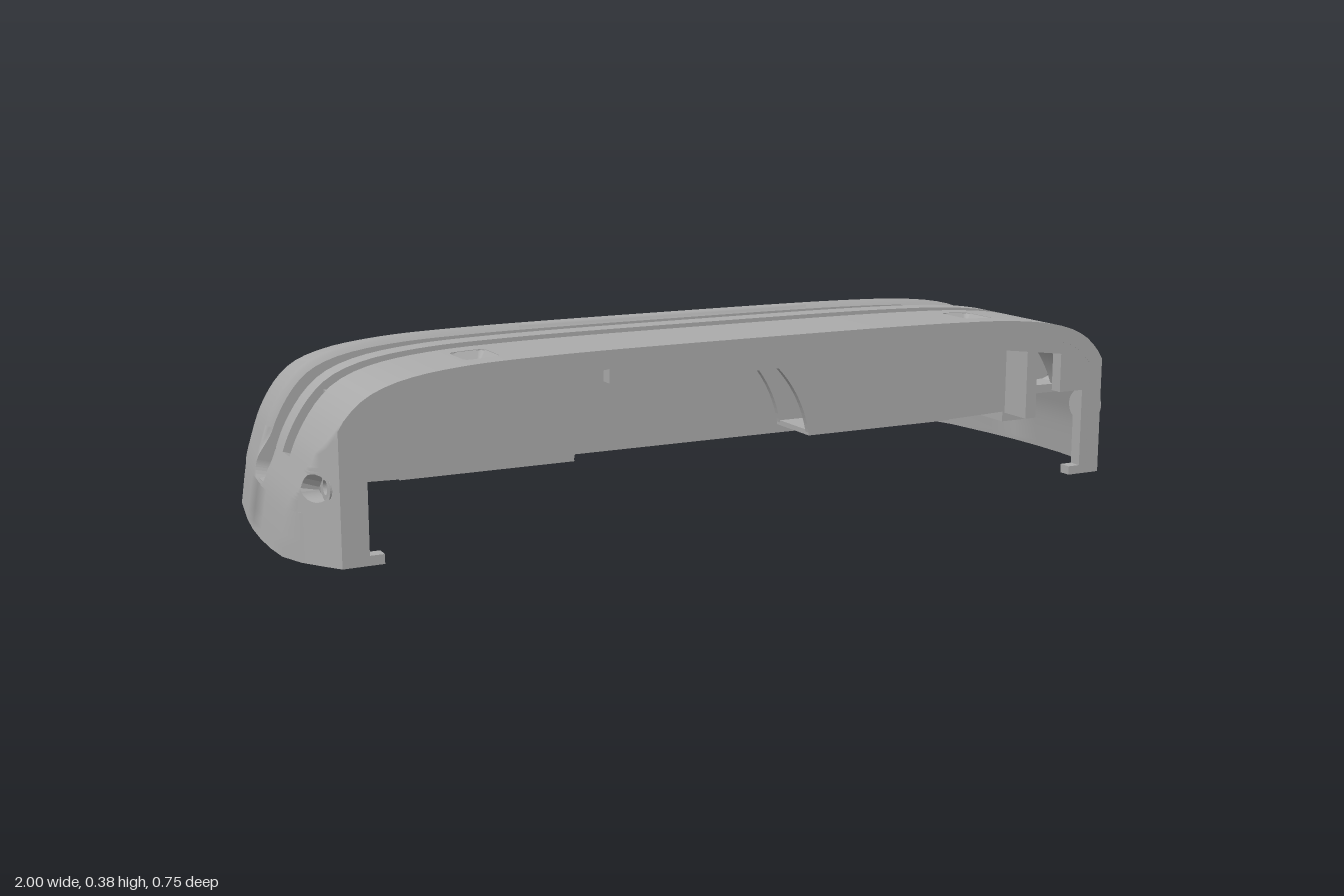
import * as THREE from 'three';

const V2 = (x, y) => new THREE.Vector2(x, y);
// half arch of the cover, from the crown to the foot of the side wall
const arch = new THREE.SplineCurve([
  [0, .385], [.3, .3845], [.5, .382], [.65, .376], [.77, .361], [.85, .334],
  [.9, .292], [.94, .23], [.965, .165], [.984, .1], [1, 0]].map(p => V2(...p)));
const WIDTH = [[-.375, .91], [-.25, .96], [-.06, .99], [.05, 1], [.22, 1], [.3, .97], [.375, .915]];
const HEIGHT = [[-.375, .29], [-.28, .343], [-.2, .362], [-.07, .383], [0, .385], [.375, .385]];

function lookup(table, z) {
  let i = 1;
  while (i < table.length - 1 && z > table[i][0]) i++;
  const [z0, a] = table[i - 1], [z1, b] = table[i];
  return a + (b - a) * (z - z0) / (z1 - z0);
}
function solve(test) {
  let a = 0, b = 1;
  for (let i = 0; i < 30; i++) {
    const m = (a + b) / 2;
    if (test(arch.getPoint(m))) a = m; else b = m;
  }
  return a;
}
const tOfX = x => Math.sign(x) * solve(p => p.x < Math.abs(x));
const tOfY = y => solve(p => p.y > y);
const archX = t => Math.sign(t) * arch.getPoint(Math.abs(t)).x;
const archY = t => arch.getPoint(Math.abs(t)).y;

// cross-section at z, t runs from -1 (right foot) to 1 (left foot)
function section(t, z) {
  const p = arch.getPoint(Math.min(1, Math.abs(t))), w = lookup(WIDTH, z);
  const x = z < 0 ? p.x - (1 - w) * p.x ** 4 : Math.min(p.x, w);
  return V2(Math.sign(t) * x, p.y * lookup(HEIGHT, z) / .385);
}
// point on the cover at a depth under its skin, rolled over at the groove edges
function skin(t, z, depth = 0) {
  const p = section(t, z), e = .002;
  const d = section(Math.min(1, t + e), z).sub(section(Math.max(-1, t - e), z)).normalize();
  const k = Math.min(.015, Math.max(0, .075 - Math.abs(z)));
  const roll = (.015 - Math.sqrt(.015 ** 2 - k * k)) * THREE.MathUtils.smoothstep(archY(t), .13, .2);
  const q = depth + roll;
  return new THREE.Vector3(p.x + d.y * q, Math.max(0, p.y - d.x * q), z);
}
function skinNormal(t, z) {
  const e = .003, a = Math.max(-1, t - e), b = Math.min(1, t + e);
  const c = Math.max(-.375, z - e), d = Math.min(.375, z + e);
  return skin(t, d).sub(skin(t, c)).cross(skin(b, z).sub(skin(a, z))).normalize();
}

// half length in z of a rounded rectangle at offset dx
function halfSpan(dx, { hx, hz, r }) {
  const o = Math.max(0, Math.abs(dx) - (hx - r));
  return hz - r + Math.sqrt(Math.max(0, r * r - o * o));
}
const WINDOW = { cx: 0, cz: -.265, hx: .37, hz: .09, r: .09 };
const PORTS = [-1, 1].map(s => ({ cx: .6 * s, cz: .272, hx: .038, hz: .05, r: .012 }));
const SCREWS = [{ z: .327, k: 1, x: .91 }, { z: -.277, k: .89, x: .885 }];

function makeCuts() {
  const foot = tOfY(.1), slotEnd = tOfY(.186);
  const groove = t => {
    const o = Math.max(0, .135 - archY(t));
    return .025 + Math.sqrt(Math.max(0, .035 ** 2 - o * o));
  };
  const cuts = [
    { a: -foot, b: foot, lo: t => -groove(t), hi: groove },
    { a: -slotEnd, b: slotEnd, lo: () => .125, hi: () => .178 }];
  for (const h of [WINDOW, ...PORTS]) {
    const span = t => halfSpan(archX(t) - h.cx, h);
    cuts.push({ a: tOfX(h.cx - h.hx), b: tOfX(h.cx + h.hx), lo: t => h.cz - span(t), hi: t => h.cz + span(t) });
  }
  for (const { z, k } of SCREWS) {
    const span = t => Math.sqrt(Math.max(0, .028 ** 2 - (archY(t) * k - .153) ** 2));
    const a = tOfY(.181 / k), b = tOfY(.125 / k);
    for (const [p, q] of [[a, b], [-b, -a]]) cuts.push({ a: p, b: q, lo: t => z - span(t), hi: t => z + span(t) });
  }
  return cuts;
}

// the curved cover, built in strips between its openings
function shellGeometry(thick) {
  const pos = [], nor = [];
  const quad = (p, n) => {
    const flat = new THREE.Vector3().subVectors(p[2], p[0]).cross(new THREE.Vector3().subVectors(p[3], p[1])).normalize();
    for (const i of [0, 1, 2, 0, 2, 3]) {
      pos.push(p[i].x, p[i].y, p[i].z);
      const m = n ? n[i] : flat;
      nor.push(m.x, m.y, m.z);
    }
  };
  const ease = f => .5 - .5 * Math.cos(Math.PI * f);
  const strip = (t0, t1, lo, hi) => {
    const n = Math.max(6, Math.ceil((t1 - t0) * 40)), m = 14, O = [], I = [], N = [], M = [];
    for (let i = 0; i <= n; i++) {
      const t = t0 + (t1 - t0) * ease(i / n), a = lo(t), b = hi(t);
      const zs = Array.from({ length: m + 1 }, (_, j) => a + (b - a) * ease(j / m));
      O.push(zs.map(z => skin(t, z)));
      I.push(zs.map(z => skin(t, z, thick)));
      N.push(zs.map(z => skinNormal(t, z)));
      M.push(N[i].map(v => v.clone().negate()));
    }
    for (let i = 0; i < n; i++) {
      for (let j = 0; j < m; j++) {
        const c = G => [G[i][j], G[i][j + 1], G[i + 1][j + 1], G[i + 1][j]];
        quad(c(O), c(N));
        quad(c(I).reverse(), c(M).reverse());
      }
      quad([O[i][0], O[i + 1][0], I[i + 1][0], I[i][0]]);
      quad([O[i + 1][m], O[i][m], I[i][m], I[i + 1][m]]);
    }
    for (let j = 0; j < m; j++) {
      quad([O[0][j + 1], O[0][j], I[0][j], I[0][j + 1]]);
      quad([O[n][j], O[n][j + 1], I[n][j + 1], I[n][j]]);
    }
  };
  const cuts = makeCuts(), r = tOfY(.135);
  const stops = [-1, -r, r, 1, ...cuts.flatMap(c => [c.a, c.b])].sort((a, b) => a - b);
  for (let i = 1; i < stops.length; i++) {
    const t0 = stops[i - 1], t1 = stops[i], mid = (t0 + t1) / 2;
    if (t1 - t0 < 1e-5) continue;
    let lo = () => -.375;
    for (const c of cuts.filter(c => c.a < mid && c.b > mid).sort((a, b) => a.lo(mid) - b.lo(mid))) {
      strip(t0, t1, lo, c.lo);
      lo = c.hi;
    }
    strip(t0, t1, lo, () => .375);
  }
  const g = new THREE.BufferGeometry();
  g.setAttribute('position', new THREE.Float32BufferAttribute(pos, 3));
  g.setAttribute('normal', new THREE.Float32BufferAttribute(nor, 3));
  return g;
}

// sloping rim that funnels from an opening in the cover down to a smaller hole
function collarGeometry({ cx, cz, hx, hz, r }, inset, drop, depth) {
  const n = 48, pos = [], idx = [];
  [[0, .001], [inset, drop], [inset, depth]].forEach(([d, y]) => {
    const q = Math.max(.004, r - d);
    for (let i = 0; i < n; i++) {
      const a = (i + .5) / n * Math.PI * 2, c = Math.cos(a), s = Math.sin(a);
      const x = cx + Math.sign(c) * (hx - d - q) + q * c, z = cz + Math.sign(s) * (hz - d - q) + q * s;
      pos.push(x, skin(tOfX(x), z).y - y, z);
    }
  });
  for (let k = 0; k < 2; k++) for (let i = 0; i < n; i++) {
    const a = k * n + i, b = k * n + (i + 1) % n;
    idx.push(a, b, a + n, b, b + n, a + n);
  }
  let g = new THREE.BufferGeometry();
  g.setAttribute('position', new THREE.Float32BufferAttribute(pos, 3));
  g.setIndex(idx);
  g = g.toNonIndexed();
  g.computeVertexNormals();
  return g;
}

export function createModel() {
  const model = new THREE.Group();
  model.name = 'cover';
  const grey = new THREE.MeshStandardMaterial({ color: 0xaaaaaa, side: THREE.DoubleSide });
  grey.name = 'grey plastic';
  const add = (name, geo) => {
    const mesh = new THREE.Mesh(geo, grey);
    mesh.name = name;
    model.add(mesh);
    return mesh;
  };
  const box = (name, x0, x1, y0, y1, z0, z1) =>
    add(name, new THREE.BoxGeometry(x1 - x0, y1 - y0, z1 - z0)).position.set((x0 + x1) / 2, (y0 + y1) / 2, (z0 + z1) / 2);
  const plate = (name, shape, z0, z1) =>
    add(name, new THREE.ExtrudeGeometry(shape, { depth: z1 - z0, bevelEnabled: false, curveSegments: 32 })).position.z = z0;
  const outline = (t, z, depth) => Array.from({ length: 61 }, (_, i) => {
    const p = skin(t * (i / 30 - 1), z, depth);
    return V2(p.x, p.y);
  });
  const mirrored = half => [...half.map(([x, y]) => V2(x, y)), ...half.slice().reverse().map(([x, y]) => V2(-x, y))];

  add('shell', shellGeometry(.035));

  // back wall with two notches in its lower edge
  plate('backWall', new THREE.Shape([...outline(1, -.375, .003),
    ...mirrored([[.83, 0], [.83, .07], [.65, .07], [.65, 0]])]), -.374, -.348);

  // stepped lip around the open front
  plate('frontLip', new THREE.Shape([...outline(1, .375, .004), ...mirrored([[.83, 0], [.83, .02], [.86, .02],
    [.86, .2], [.795, .2], [.795, .29], [.35, .345], [.35, .315]])]), .345, .3745);

  // groove walls with a round arch, and the floor between them
  for (const s of [-1, 1]) {
    const wall = new THREE.Shape(outline(tOfY(.1), .06 * s, .01));
    wall.lineTo(.7, .09);
    wall.lineTo(.301, .09);
    wall.absarc(0, .04, .305, .165, Math.PI - .165, false);
    wall.lineTo(-.7, .09);
    plate('grooveWall', wall, s > 0 ? .06 : -.075, s > 0 ? .075 : -.06);
    box('grooveFloor', s * .5 - .2, s * .5 + .2, .088, .1, -.075, .075);
    box('grooveEnd', s * .915 - .055, s * .915 + .055, .07, .099, -.075, .075);
    // stop plate and ledge behind each end of the slot
    box('slotStop', s * .855 - .015, s * .855 + .015, .1, .305, .11, .193);
    box('slotLedge', s * .9 - .04, s * .9 + .04, .16, .18, .11, .193);
    // screw seats in the side walls
    for (const { z, x } of SCREWS) {
      const ring = new THREE.Shape().absarc(0, 0, .034, 0, Math.PI * 2);
      ring.holes.push(new THREE.Path().absarc(0, 0, .015, 0, Math.PI * 2, true));
      const geo = new THREE.ExtrudeGeometry(ring, { depth: .04, bevelEnabled: false, curveSegments: 20 });
      geo.translate(0, 0, -.02).rotateY(Math.PI / 2);
      add('screwSeat', geo).position.set(s * x, .153, z);
    }
  }
  box('slotBridge', -.35, .35, .348, .372, .118, .185);

  // funnelled rims of the handle window and the two small ports
  add('windowRim', collarGeometry(WINDOW, .027, .016, .065));
  for (const p of PORTS) add('portRim', collarGeometry(p, .017, .025, .045));
  return model;
}
